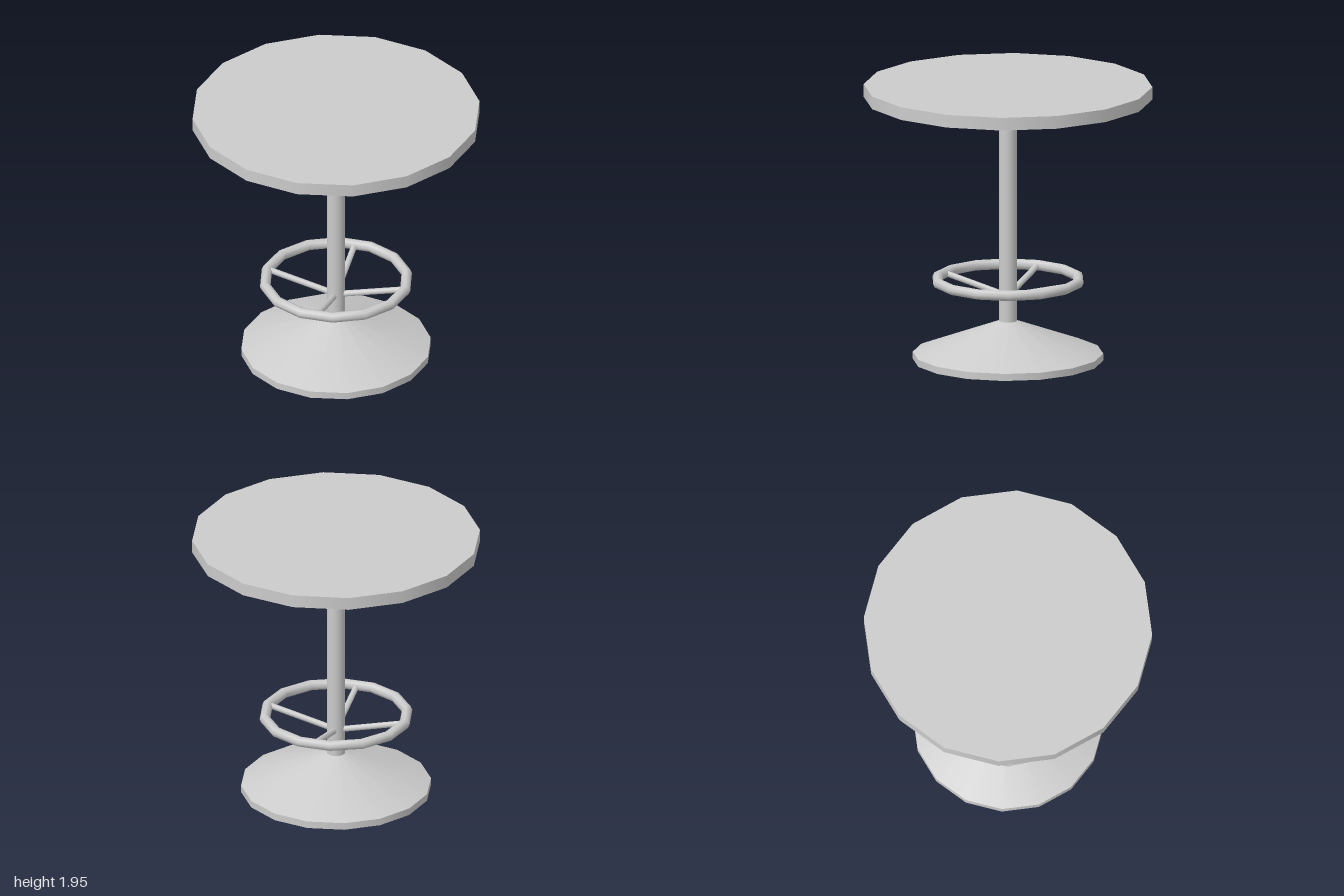
import * as THREE from 'three';

export function createModel() {
  const group = new THREE.Group();
  const material = new THREE.MeshStandardMaterial({ color: 0xcccccc });

  const add = (name, geometry) => {
    const mesh = new THREE.Mesh(geometry, material);
    mesh.name = name;
    group.add(mesh);
    return mesh;
  };
  // Upright round part between two heights
  const disc = (name, rTop, rBottom, y0, y1, sides = 16) => {
    add(name, new THREE.CylinderGeometry(rTop, rBottom, y1 - y0, sides)).position.y = (y0 + y1) / 2;
  };

  disc('tableTop', 1, 1, 1.857, 1.947);
  disc('pole', 0.063, 0.063, 0.275, 1.857);
  disc('baseCone', 0.063, 0.66, 0.05, 0.277);
  disc('baseRim', 0.66, 0.66, 0, 0.05);

  // Foot ring around the pole
  const ring = add('footRing', new THREE.TorusGeometry(0.497, 0.037, 8, 14));
  ring.rotation.x = Math.PI / 2;
  ring.position.y = 0.567;

  // Four sloping spokes carrying the ring
  const up = new THREE.Vector3(0, 1, 0);
  for (let i = 0; i < 4; i++) {
    const a = (i * Math.PI) / 2;
    const start = new THREE.Vector3(0, 0.452, 0);
    const end = new THREE.Vector3(Math.cos(a) * 0.485, 0.57, Math.sin(a) * 0.485);
    const dir = end.clone().sub(start);
    const spoke = add('spoke', new THREE.CylinderGeometry(0.022, 0.022, dir.length(), 8));
    spoke.position.copy(start).add(end).multiplyScalar(0.5);
    spoke.quaternion.setFromUnitVectors(up, dir.normalize());
  }
  return group;
}
